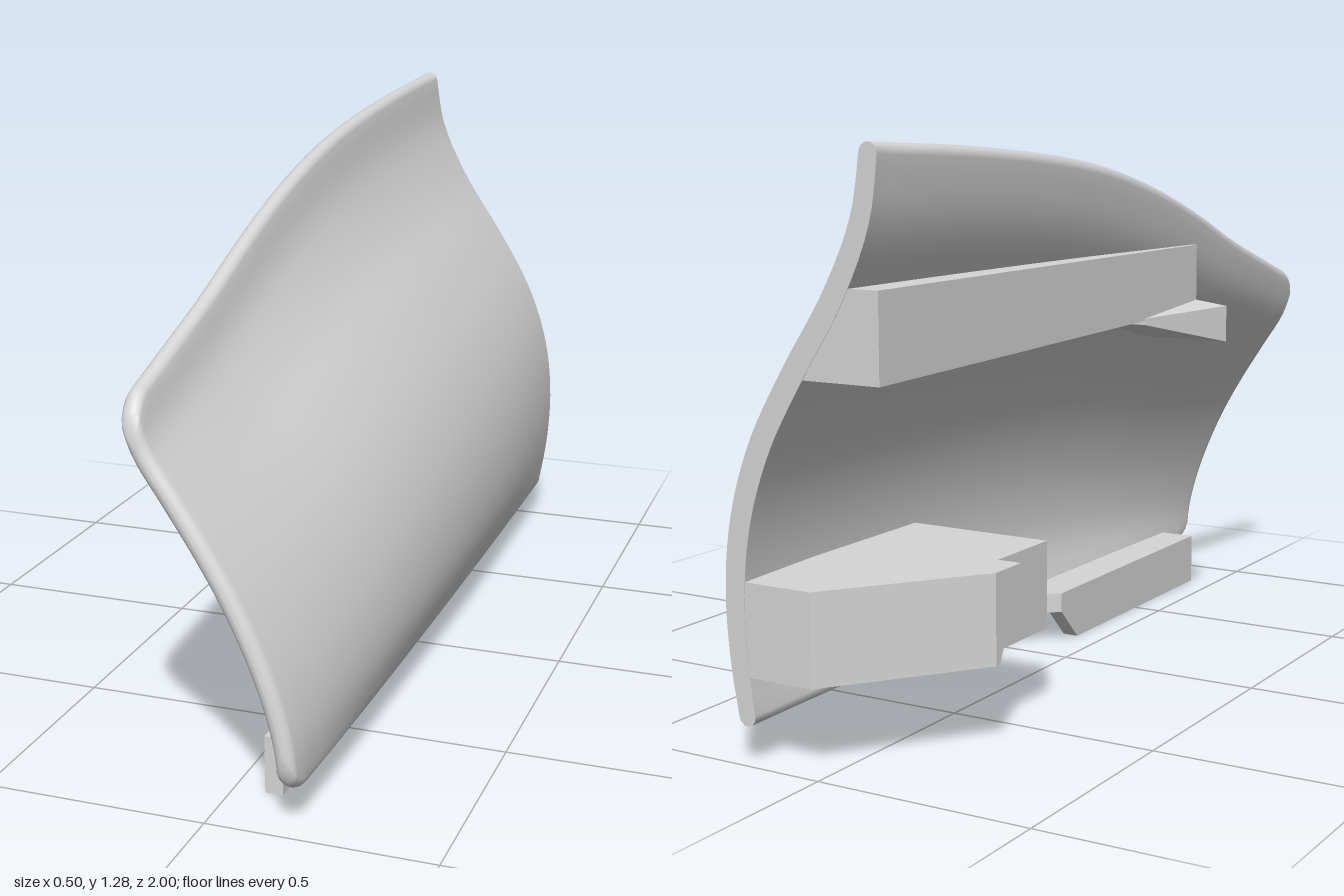
import * as THREE from 'three';

const grey = new THREE.MeshStandardMaterial({ color: 0xd6d6d6 });
grey.name = 'plain grey';

// Height of the panel's upper edge along z
const topEdge = new THREE.CubicInterpolant(
  [-1, -0.6, -0.2, 0, 0.2, 0.4, 0.6, 0.8, 1],
  [1.28, 1.262, 1.225, 1.19, 1.14, 1.075, 1.0, 0.936, 0.873], 1);

// Outer x from bottom to top of the panel, for the stations z = -1, -0.3 and 1
const profile = new THREE.CubicInterpolant(
  [0, 0.125, 0.25, 0.375, 0.5, 0.625, 0.75, 0.875, 1],
  [
    0.195, 0.20, 0.20,
    0.219, 0.243, 0.19,
    0.225, 0.248, 0.165,
    0.205, 0.221, 0.128,
    0.152, 0.163, 0.082,
    0.065, 0.075, 0.026,
    -0.033, -0.028, -0.037,
    -0.103, -0.1, -0.1,
    -0.13, -0.13, -0.13,
  ], 3);

const BOTTOM = 0.085, HALF = 0.021, CORNER = 0.07;

// Middle of the panel wall at height y and depth z
function wallX(y, z) {
  const t = (y - BOTTOM) / (topEdge.evaluate(z)[0] - BOTTOM);
  const [a, b, c] = profile.evaluate(THREE.MathUtils.clamp(t, 0, 1));
  // parabola through the three stations
  const x = a * (z + 0.3) * (z - 1) / 1.4
    + b * (z + 1) * (z - 1) / -0.91
    + c * (z + 1) * (z + 0.3) / 2.6;
  return x - HALF;
}

// Closed cross-section of the panel, counter-clockwise seen from the front
function section(z, h) {
  const k = THREE.MathUtils.clamp(z - (1 - CORNER), 0, CORNER);
  const cut = CORNER - Math.sqrt(Math.max(0, CORNER * CORNER - k * k));
  const y0 = BOTTOM + HALF + cut;
  const y1 = topEdge.evaluate(z)[0] - HALF - cut;
  const N = 36, CAP = 6, outer = [], inner = [], frames = [];
  for (let i = 0; i <= N; i++) {
    const y = y0 + (y1 - y0) * i / N, e = 0.01;
    const T = new THREE.Vector2(wallX(y + e, z) - wallX(y - e, z), 2 * e).normalize();
    const f = { c: new THREE.Vector2(wallX(y, z), y), T, n: new THREE.Vector2(T.y, -T.x) };
    // the wall is a little thicker in the middle towards the back
    const swell = 1 + 0.25 * (1 - z) * Math.sin(Math.PI * i / N);
    frames.push(f);
    outer.push(f.c.clone().addScaledVector(f.n, h));
    inner.unshift(f.c.clone().addScaledVector(f.n, -h * swell));
  }
  const cap = (f, s) => {
    const pts = [];
    for (let i = 1; i < CAP; i++) {
      const a = Math.PI * i / CAP;
      pts.push(f.c.clone()
        .addScaledVector(f.n, s * h * Math.cos(a))
        .addScaledVector(f.T, s * h * Math.sin(a)));
    }
    return pts;
  };
  return [...outer, ...cap(frames[N], 1), ...inner, ...cap(frames[0], -1)];
}

function panelGeometry() {
  // flat back end, a break for its sharp edge, smooth run, rounded front edge
  const stations = [[-1, 0], [-1, HALF], null];
  for (let i = 0; i <= 32; i++) stations.push([-1 + 1.93 * i / 32, HALF]);
  for (let i = 1; i <= 4; i++) stations.push([0.93 + 0.0125 * i, HALF]);
  for (let i = 1; i <= 6; i++) {
    const a = i / 6 * Math.PI / 2;
    stations.push([0.98 + 0.02 * Math.sin(a), HALF * Math.cos(a)]);
  }
  const pos = [], index = [];
  let previous = -1;
  for (const s of stations) {
    if (!s) { previous = -1; continue; }
    const ring = section(s[0], s[1]), n = ring.length, start = pos.length / 3;
    ring.forEach(p => pos.push(p.x, p.y, s[0]));
    if (previous >= 0) {
      for (let j = 0; j < n; j++) {
        const k = (j + 1) % n;
        const a = previous + j, b = previous + k, c = start + k, d = start + j;
        index.push(a, b, c, a, c, d);
      }
    }
    previous = start;
  }
  const g = new THREE.BufferGeometry();
  g.setAttribute('position', new THREE.Float32BufferAttribute(pos, 3));
  g.setIndex(index);
  g.computeVertexNormals();
  return g;
}

// Prism with a plan outline of [x, z] points between two heights
function planPrism(points, y0, y1) {
  const shape = new THREE.Shape(points.map(([x, z]) => new THREE.Vector2(x, -z)));
  const g = new THREE.ExtrudeGeometry(shape, { depth: y1 - y0, bevelEnabled: false });
  return g.rotateX(-Math.PI / 2).translate(0, y0, 0);
}

// Prism with a side outline of [z, y] points between two x positions
function sidePrism(points, x0, x1) {
  const shape = new THREE.Shape(points.map(([z, y]) => new THREE.Vector2(-z, y)));
  const g = new THREE.ExtrudeGeometry(shape, { depth: x1 - x0, bevelEnabled: false });
  return g.rotateY(Math.PI / 2).translate(x0, 0, 0);
}

// Bar running along z whose [x, y] outline changes from back to front
function taperedBar(back, front, z0, z1) {
  const shape = new THREE.Shape(back.map(p => new THREE.Vector2(...p)));
  const g = new THREE.ExtrudeGeometry(shape, { depth: 1, bevelEnabled: false });
  const p = g.attributes.position;
  for (let i = 0; i < p.count; i++) {
    const k = back.findIndex(q => Math.hypot(q[0] - p.getX(i), q[1] - p.getY(i)) < 1e-4);
    const atFront = p.getZ(i) > 0.5;
    const q = atFront ? front[k] : back[k];
    p.setXYZ(i, q[0], q[1], atFront ? z1 : z0);
  }
  g.computeVertexNormals();
  return g;
}

export function createModel() {
  const model = new THREE.Group();
  model.name = 'curvedSidePanel';
  const add = (name, geometry) => {
    const mesh = new THREE.Mesh(geometry, grey);
    mesh.name = name;
    model.add(mesh);
  };

  add('panel', panelGeometry());

  // Long rail on the inner face
  add('upperRail', taperedBar(
    [[-0.166, 0.815], [0.03, 0.815], [-0.07, 1.0], [-0.166, 1.0]],
    [[-0.166, 0.84], [-0.05, 0.84], [-0.13, 1.0], [-0.166, 1.0]], -0.999, 0.37));

  // Wedge hook under the rail, running out to a thin tip
  add('wedgeHook', taperedBar(
    [[-0.166, 0.825], [-0.05, 0.825], [-0.1, 0.86], [-0.166, 0.84]],
    [[-0.25, 0.76], [-0.02, 0.76], [-0.1, 0.87], [-0.25, 0.85]], 0.09, 0.37));

  // Hooked mounting block at the lower back; the hook's front face leans back below
  const block = planPrism([
    [0.19, -0.999], [0.012, -0.999], [-0.225, -0.68], [-0.225, -0.58],
    [-0.168, -0.58], [-0.168, -0.375], [0.19, -0.37],
  ], 0.19, 0.39);
  const b = block.attributes.position;
  for (let i = 0; i < b.count; i++) {
    if (b.getY(i) < 0.3 && Math.abs(b.getZ(i) + 0.58) < 1e-3) b.setZ(i, -0.665);
  }
  block.computeVertexNormals();
  add('mountingBlock', block);

  // L-shaped clip under the lower front edge
  add('clipFlange', planPrism([[0.07, 0.84], [0.07, 0.1], [0.185, 0], [0.185, 0.84]], 0.082, 0.13));
  add('clipLip', sidePrism([[0.1, 0.082], [0.18, 0], [0.84, 0], [0.84, 0.082]], 0.07, 0.11));

  return model;
}
